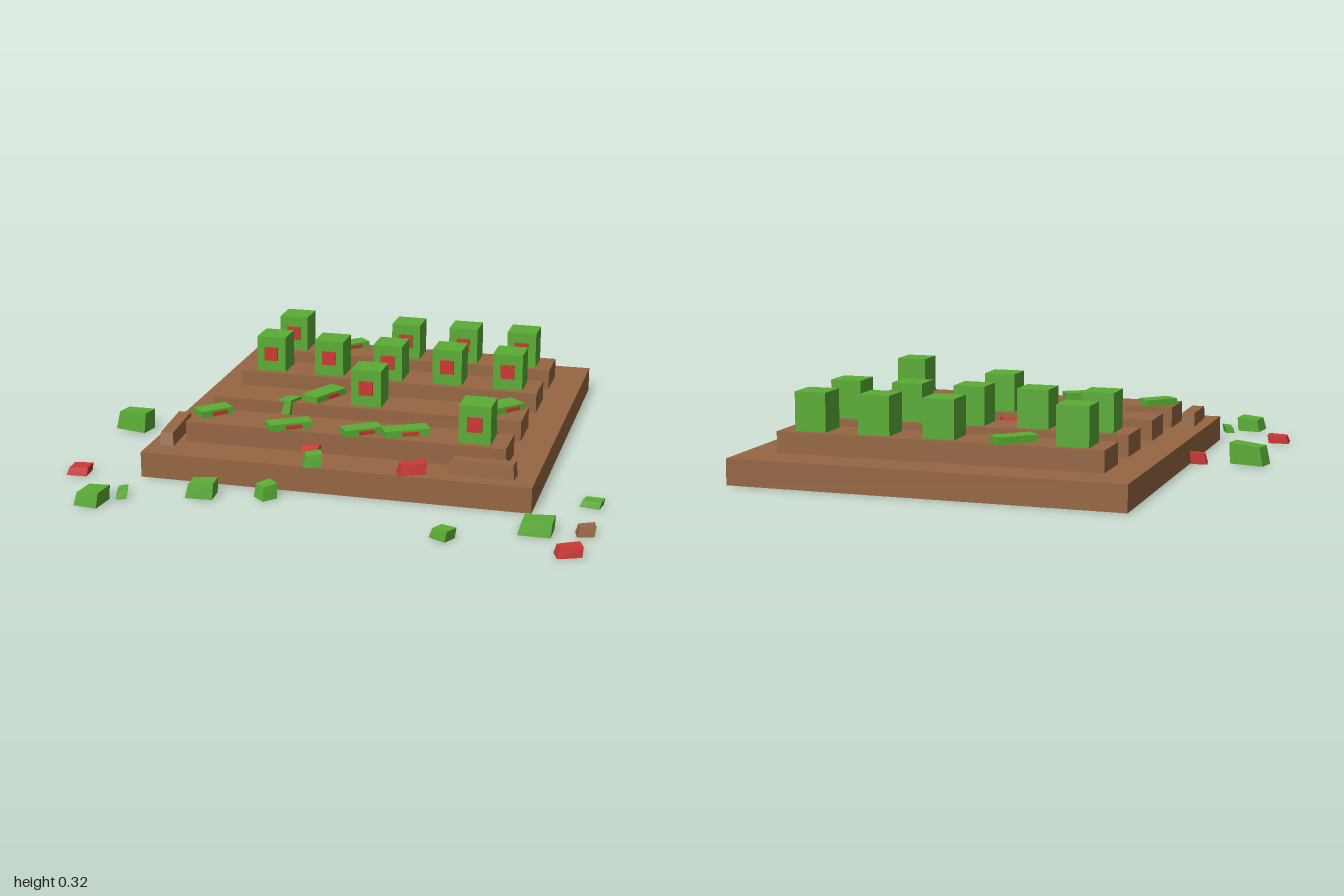
import * as THREE from 'three';

const mat = (name, color) => {
  const m = new THREE.MeshStandardMaterial({ color });
  m.name = name;
  return m;
};

export function createModel() {
  const root = new THREE.Group();
  root.name = 'ruinedDisplay';
  const green = mat('green', 0x5aad35);
  const red = mat('red', 0xcc3833);
  const brown = mat('brown', 0x966642);
  brown.side = THREE.DoubleSide;

  const box = (name, material, w, h, d, x, y, z, parent = root) => {
    const m = new THREE.Mesh(new THREE.BoxGeometry(w, h, d), material);
    m.name = name;
    m.position.set(x, y + h / 2, z); // y is the underside
    parent.add(m);
    return m;
  };

  // platform: a box shell, open underneath
  const platform = box('platform', brown, 1.455, 0.096, 1.457, 0.02, 0, -0.19);
  const index = Array.from(platform.geometry.index.array);
  index.splice(18, 6);
  platform.geometry.setIndex(index);

  // four long risers
  const rowZ = [-0.676, -0.361, -0.017, 0.297];
  rowZ.forEach((z) => box('riser', brown, 1.21, 0.078, 0.172, 0.02, 0.096, z));

  // standing blocks, each with a red square on its front
  const colX = [-0.465, -0.223, 0.02, 0.262, 0.505];
  const standing = [[0, 2, 3, 4], [0, 1, 2, 3, 4], [2], [4]];
  standing.forEach((cols, r) => cols.forEach((c) => {
    const block = new THREE.Group();
    block.name = 'standingBlock';
    block.position.set(colX[c], 0.174, rowZ[r]);
    box('body', green, 0.118, 0.143, 0.12, 0, 0, 0, block);
    box('face', red, 0.055, 0.055, 0.02, 0, 0.046, 0.058, block);
    root.add(block);
  }));

  // collapsed slabs lying on the risers: x, z, length, width, turn in degrees
  [
    [-0.246, -0.703, 0.155, 0.066, 43], [-0.166, -0.03, 0.167, 0.077, 63],
    [0.535, -0.056, 0.133, 0.087, 47], [-0.515, 0.268, 0.13, 0.07, 45],
    [-0.193, 0.35, 0.163, 0.065, 32], [0.08, 0.343, 0.145, 0.065, 36],
    [0.24, 0.315, 0.17, 0.067, 28],
  ].forEach(([x, z, l, w, turn]) => {
    const slab = new THREE.Group();
    slab.name = 'collapsedSlab';
    slab.position.set(x, 0.174, z);
    slab.rotation.y = THREE.MathUtils.degToRad(turn);
    box('body', green, l, 0.026, w, 0, 0, 0, slab);
    box('face', red, 0.06, 0.014, 0.02, 0.01, 0.005, w / 2 - 0.004, slab);
    root.add(slab);
  });

  // rubble: boxes whose tops shrink and lean
  const chunk = (name, material, x, y, z, w, h, d, turn, lean = 0.008) => {
    const m = box(name, material, w, h, d, x, y, z);
    const p = m.geometry.attributes.position;
    for (let i = 0; i < p.count; i++) {
      if (p.getY(i) < 0) continue;
      const end = p.getX(i) > 0 ? 0 : 0.12 * h; // one end sits lower
      p.setXYZ(i, p.getX(i) * 0.93 + lean, p.getY(i) - end, p.getZ(i) * 0.9 - lean * 0.5);
    }
    m.geometry = m.geometry.toNonIndexed();
    m.geometry.computeVertexNormals();
    m.rotation.y = THREE.MathUtils.degToRad(turn);
  };

  // green rubble: x, y, z, width, height, depth, turn, lean
  [
    [-0.295, 0.115, 0.037, 0.07, 0.07, 0.075, -20],
    [-0.06, 0.096, 0.515, 0.062, 0.05, 0.052, 25],
    [-0.925, 0.005, 0.045, 0.13, 0.08, 0.075, -12],
    [-0.43, 0, 0.662, 0.1, 0.06, 0.078, 4],
    [-0.2, 0, 0.625, 0.06, 0.056, 0.062, 48],
    [-0.705, 0, 0.74, 0.036, 0.03, 0.07, 20],
    [-0.785, 0, 0.825, 0.09, 0.055, 0.1, -6],
    [0.49, 0, 0.83, 0.07, 0.04, 0.055, -28],
    [0.79, 0, 0.7, 0.115, 0.052, 0.085, 0],
    [0.94, 0, 0.41, 0.075, 0.026, 0.05, -10],
  ].forEach((a) => chunk('greenRubble', green, ...a));

  // red rubble
  [
    [-0.037, 0.1, -0.125, 0.11, 0.06, 0.052, -60],
    [-0.1, 0.1, 0.38, 0.07, 0.03, 0.05, -8],
    [0.53, 0.115, 0.215, 0.06, 0.06, 0.04, -15],
    [0.308, 0.1, 0.512, 0.1, 0.042, 0.042, 24],
    [-0.74, 0, 0.015, 0.06, 0.045, 0.04, 8],
    [-0.945, 0, 0.56, 0.078, 0.032, 0.065, 3],
    [0.925, 0, 0.87, 0.085, 0.036, 0.055, 22],
  ].forEach((a) => chunk('redRubble', red, ...a));

  // broken planks and a brown chip
  chunk('chip', brown, 0.955, 0, 0.68, 0.06, 0.036, 0.045, 16);
  chunk('sidePlank', brown, -0.64, 0.1, 0.34, 0.245, 0.055, 0.052, 93, 0.004);
  chunk('frontPlank', brown, 0.555, 0.1, 0.458, 0.245, 0.055, 0.052, -4, 0.004);

  return root;
}
